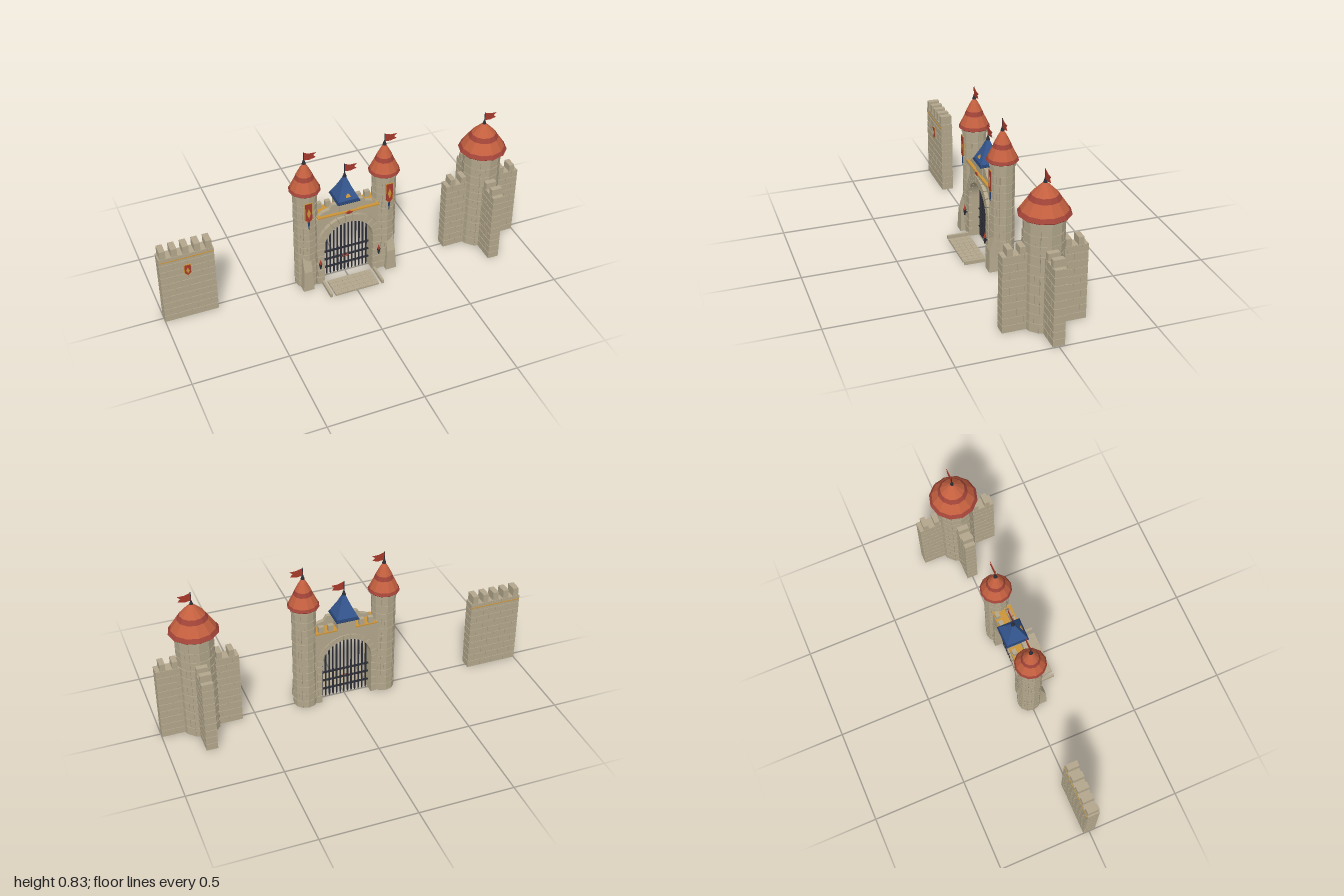
import * as THREE from 'three';
import { mergeGeometries } from 'three/addons/utils/BufferGeometryUtils.js';

const colour = (name, hex) => {
  const m = new THREE.MeshStandardMaterial({ color: hex });
  m.name = name;
  return m;
};
const M = {
  stone: colour('stone', 0xb3a78c),
  tile: colour('roof tile', 0xc4603f),
  tileDark: colour('dark roof tile', 0xa04338),
  blue: colour('blue roof', 0x34568f),
  blueDark: colour('dark blue', 0x26406f),
  gold: colour('gold', 0xcc9438),
  cloth: colour('red cloth', 0xa83a2c),
  iron: colour('dark iron', 0x2b2d36),
};

// Merges geometries into one faceted, named mesh
function add(parent, name, mat, geos) {
  const flat = geos.map((g) => (g.index ? g.toNonIndexed() : g));
  const geo = mergeGeometries(flat);
  geo.computeVertexNormals();
  const mesh = new THREE.Mesh(geo, mat);
  mesh.name = name;
  parent.add(mesh);
  return mesh;
}
const box = (w, h, d, x, y, z) => new THREE.BoxGeometry(w, h, d).translate(x, y, z);
const cyl = (rt, rb, y0, y1, n = 12, open = false) =>
  new THREE.CylinderGeometry(rt, rb, y1 - y0, n, 1, open).translate(0, (y0 + y1) / 2, 0);
const poly = (pts, depth, x = 0, y = 0, z = 0) =>
  new THREE.ExtrudeGeometry(new THREE.Shape(pts.map((p) => new THREE.Vector2(...p))),
    { depth, bevelEnabled: false }).translate(x, y, z);
function group(parent, name, x = 0, z = 0) {
  const g = new THREE.Group();
  g.name = name;
  g.position.set(x, 0, z);
  parent.add(g);
  return g;
}

// Staggered bricks standing slightly proud of a core
function brickWall(len, h, d, rows, brick) {
  const gap = 0.004, rh = h / rows;
  const out = [box(len - 0.006, h - 0.002, d - 0.006, 0, h / 2, 0)];
  for (let r = 0; r < rows; r++) {
    let a = -len / 2, b = a + (r % 2 ? brick / 2 : brick);
    while (a < len / 2 - 0.001) {
      b = Math.min(b, len / 2);
      const g0 = a > -len / 2 + 0.001 ? gap / 2 : 0, g1 = b < len / 2 - 0.001 ? gap / 2 : 0;
      out.push(box(b - a - g0 - g1, rh - gap, d, (a + b + g0 - g1) / 2, (r + 0.5) * rh, 0));
      a = b;
      b += brick;
    }
  }
  return out;
}

// Twelve-sided coursed shaft
function shaft(r, h, rows) {
  const out = [cyl(r - 0.003, r - 0.003, 0, h)];
  const rh = h / rows, ap = r * Math.cos(Math.PI / 12), w = 2 * r * Math.sin(Math.PI / 12);
  for (let row = 0; row < rows; row++) {
    for (let k = 0; k < 12; k++) {
      const parts = row % 2 ? [[-w / 4, w / 2 - 0.003], [w / 4, w / 2 - 0.003]] : [[0, w - 0.002]];
      for (const [x, bw] of parts) {
        out.push(box(bw, rh - 0.004, 0.006, x, (row + 0.5) * rh, ap - 0.003)
          .rotateY((k + 0.5) * Math.PI / 6));
      }
    }
  }
  return out;
}

// Finial, pole and swallow-tailed pennant
function pennant(parent, y0, top) {
  add(parent, 'finial', M.iron, [cyl(0, 0.011, y0 - 0.012, y0 + 0.022, 8), cyl(0.0022, 0.0022, y0, top, 6)]);
  add(parent, 'pennant', M.cloth, [poly([[0, 0], [0.03, -0.004], [0.064, 0.004], [0.05, 0.018],
    [0.066, 0.031], [0.032, 0.032], [0, 0.042]], 0.003, 0, top - 0.046, -0.0015)]);
}

// Roof built from stacked bands; profile points are [radius, y]
function roof(parent, pts, mats, n = 12, turn = 0) {
  mats.forEach((mat, i) => {
    const [r0, y0] = pts[i], [r1, y1] = pts[i + 1];
    add(parent, 'roofBand', mat, [cyl(r1, r0, y0, y1, n, true).rotateY(turn)]);
  });
  const [r, y] = pts[0];
  add(parent, 'roofUnderside', mats[0], [cyl(r, r - 0.004, y - 0.004, y, n).rotateY(turn)]);
}

function tower(parent, name, x, r, top, rows, pts, poleTop) {
  const g = group(parent, name, x);
  add(g, 'shaft', M.stone, shaft(r, top - 0.03, rows));
  add(g, 'collar', M.stone, [cyl(r + 0.005, r + 0.005, top - 0.03, top - 0.012), cyl(r, r, top - 0.012, top)]);
  add(g, 'collarBand', M.gold, [cyl(r + 0.003, r + 0.003, top - 0.01, top - 0.005)]);
  roof(g, pts, [M.tileDark, M.tile, M.tileDark, M.tile, M.tile]);
  pennant(g, pts[5][1], poleTop);
  return g;
}

// Hanging banner with border, pointed foot and diamond emblem
function banner(parent, x, y0, y1, z, w) {
  const g = group(parent, 'banner', x, z);
  const shape = (a, lo, hi) => [[-a, hi], [-a, lo + a], [0, lo], [a, lo + a], [a, hi]];
  const m = (y0 + y1) / 2, e = w * 0.24, eh = (y1 - y0) * 0.26;
  add(g, 'border', M.gold, [poly(shape(w / 2, y0, y1), 0.004)]);
  add(g, 'cloth', M.cloth, [poly(shape(w / 2 - 0.003, y0 + 0.004, y1 - 0.003), 0.006)]);
  add(g, 'emblem', M.gold, [poly([[0, m - eh], [e, m], [0, m + eh], [-e, m]], 0.008)]);
  return g;
}

function wallPiece(root) {
  const g = group(root, 'wallPiece', -0.858);
  add(g, 'wall', M.stone, brickWall(0.284, 0.41, 0.064, 10, 0.071));
  const merlons = [];
  for (let i = -2; i <= 2; i++) merlons.push(box(0.031, 0.047, 0.062, i * 0.0592, 0.4325, 0));
  add(g, 'merlons', M.stone, merlons);
  add(g, 'trimBand', M.gold, [box(0.28, 0.005, 0.068, 0, 0.388, 0)]);
  banner(g, 0, 0.272, 0.342, 0.031, 0.038);
}

function cornerTower(root) {
  const g = tower(root, 'cornerTower', 0.785, 0.1, 0.595, 11,
    [[0.128, 0.593], [0.114, 0.613], [0.079, 0.665], [0.064, 0.688], [0.028, 0.725], [0, 0.752]], 0.81);
  for (const turn of [0, Math.PI / 2]) {
    const merlons = [-0.176, -0.113, 0.113, 0.176].map((x) => box(0.028, 0.039, 0.058, x, 0.4265, 0));
    add(g, 'wingWall', M.stone, brickWall(0.426, 0.408, 0.06, 10, 0.071)).rotation.y = turn;
    add(g, 'wingMerlons', M.stone, merlons).rotation.y = turn;
  }
}

function gatehouse(root) {
  const g = group(root, 'gatehouse');
  const R = 0.137, spring = 0.235;
  for (const s of [-1, 1]) {
    tower(g, 'gateTower', s * 0.218, 0.064, 0.61, 13,
      [[0.083, 0.607], [0.075, 0.622], [0.05, 0.675], [0.041, 0.698], [0.02, 0.74], [0, 0.772]], 0.826);
    banner(g, s * 0.222, 0.435, 0.558, 0.062, 0.042);
    add(g, 'tassel', M.blueDark, [poly([[-0.006, 0.05], [0, 0], [0.006, 0.05]], 0.005, s * 0.222, 0.388, 0.062)]);
    // Sloping buttress against the tower foot
    const buttress = poly([[0.02, 0], [0.085, 0], [0.08, 0.12], [0.05, 0.215], [0.02, 0.215]], 0.06)
      .rotateY(-Math.PI / 2).translate(s * 0.235 + 0.03, 0, 0);
    const p = buttress.attributes.position;
    for (let i = 0; i < p.count; i++) {
      if (p.getY(i) > 0.1) p.setX(i, s * 0.235 + (p.getX(i) - s * 0.235) * 0.75);
    }
    add(g, 'buttress', M.stone, [buttress]);
    // Wall torch
    const t = group(g, 'torch', s * 0.165, 0.074);
    add(t, 'torchHolder', M.iron, [cyl(0.009, 0.004, 0.118, 0.152, 8), box(0.006, 0.006, 0.03, 0, 0.135, -0.01)]);
    add(t, 'flame', M.cloth, [cyl(0, 0.008, 0.152, 0.18, 8)]);
    add(g, 'rampRail', M.stone, [box(0.013, 0.02, 0.135, s * 0.146, 0.01, 0.112)]);
  }

  // Wall with the arched opening
  const face = new THREE.Shape();
  face.moveTo(-0.18, 0);
  face.lineTo(-R, 0);
  face.lineTo(-R, spring);
  face.absarc(0, spring, R, Math.PI, 0, true);
  face.lineTo(R, 0);
  face.lineTo(0.18, 0);
  face.lineTo(0.18, 0.43);
  face.lineTo(-0.18, 0.43);
  add(g, 'gateWall', M.stone, [new THREE.ExtrudeGeometry(face,
    { depth: 0.08, bevelEnabled: false, curveSegments: 16 }).translate(0, 0, -0.04)]);

  // Voussoirs and jamb blocks, on both faces
  const blocks = [], n = 13;
  for (const [z, d, outer] of [[0.038, 0.022, 0.178], [-0.046, 0.01, 0.165]]) {
    for (let i = 0; i < n; i++) {
      const a = (i + 0.04) / n * Math.PI, b = (i + 0.96) / n * Math.PI;
      const at = (r, t) => [r * Math.cos(t), r * Math.sin(t)];
      const m = (a + b) / 2;
      blocks.push(poly([at(R, a), at(outer, a), at(outer, m), at(outer, b), at(R, b), at(R, m)], d, 0, spring, z));
    }
    for (let i = 0; i < 5; i++) {
      for (const s of [-1, 1]) {
        const w = outer - R - (i % 2) * 0.004;
        blocks.push(box(w, 0.043, d, s * (R + w / 2), 0.0235 + i * 0.047, z + d / 2));
      }
    }
  }
  add(g, 'archStones', M.stone, blocks);

  // Cornice, sloped parapet and rear merlons
  add(g, 'cornice', M.stone, [box(0.356, 0.014, 0.1, 0, 0.425, 0.008)]);
  add(g, 'corniceBand', M.gold, [box(0.34, 0.007, 0.104, 0, 0.437, 0.008)]);
  add(g, 'corniceJewel', M.cloth, [poly([[-0.022, 0], [0, -0.009], [0.022, 0], [0, 0.009]], 0.006, 0, 0.435, 0.058)]);
  add(g, 'parapet', M.stone, [poly([[-0.16, 0], [0.16, 0], [0.14, 0.02], [0.1, 0.03], [0.085, 0.055],
    [-0.085, 0.055], [-0.1, 0.03], [-0.14, 0.02]], 0.022, 0, 0.438, 0.022)]);
  add(g, 'rearMerlons', M.stone, [-0.135, -0.085, 0.085, 0.135].map((x) => box(0.028, 0.04, 0.022, x, 0.455, -0.029)));

  // Small square turret with the blue roof
  const turret = group(g, 'turret');
  const q = Math.SQRT2;
  add(turret, 'turretBase', M.stone, [box(0.098, 0.07, 0.098, 0, 0.462, 0)]);
  roof(turret, [[0.063 * q, 0.495], [0.056 * q, 0.508], [0.026 * q, 0.572], [0, 0.638]],
    [M.blueDark, M.blue, M.blue], 4, Math.PI / 4);
  add(turret, 'roofEmblem', M.gold, [poly([[-0.014, 0], [0.014, 0], [0.01, 0.012], [0, 0.022], [-0.01, 0.012]], 0.003)
    .rotateX(-0.437).translate(0, 0.522, 0.049)]);
  pennant(turret, 0.632, 0.7);

  // Portcullis
  const bars = [], studs = [];
  for (let i = -6; i <= 6; i++) {
    const x = i * 0.0205, h = spring + Math.sqrt(R * R - x * x);
    bars.push(box(0.007, h - 0.012, 0.007, x, h / 2 + 0.006, 0));
    bars.push(new THREE.ConeGeometry(0.005, 0.014, 4).rotateX(Math.PI).translate(x, 0.007, 0));
  }
  for (const y of [0.055, 0.108, 0.16]) bars.push(box(2 * R, 0.007, 0.01, 0, y, 0));
  for (const s of [-1, 1]) studs.push(new THREE.TorusGeometry(0.007, 0.002, 6, 12).translate(s * 0.012, 0.108, 0.008));
  add(g, 'portcullis', M.iron, bars);
  add(g, 'gateRings', M.cloth, studs);

  // Paved ramp
  const slabs = [box(0.246, 0.009, 0.12, 0, 0.0055, 0.12)];
  for (let i = 0; i < 7; i++) {
    for (let j = 0; j < 4; j++) {
      slabs.push(box(0.032, 0.012, 0.027, (i - 3) * 0.0352, 0.006, 0.075 + j * 0.03));
    }
  }
  add(g, 'ramp', M.stone, slabs);
}

export function createModel() {
  const root = new THREE.Group();
  root.name = 'castleSet';
  wallPiece(root);
  gatehouse(root);
  cornerTower(root);
  return root;
}
